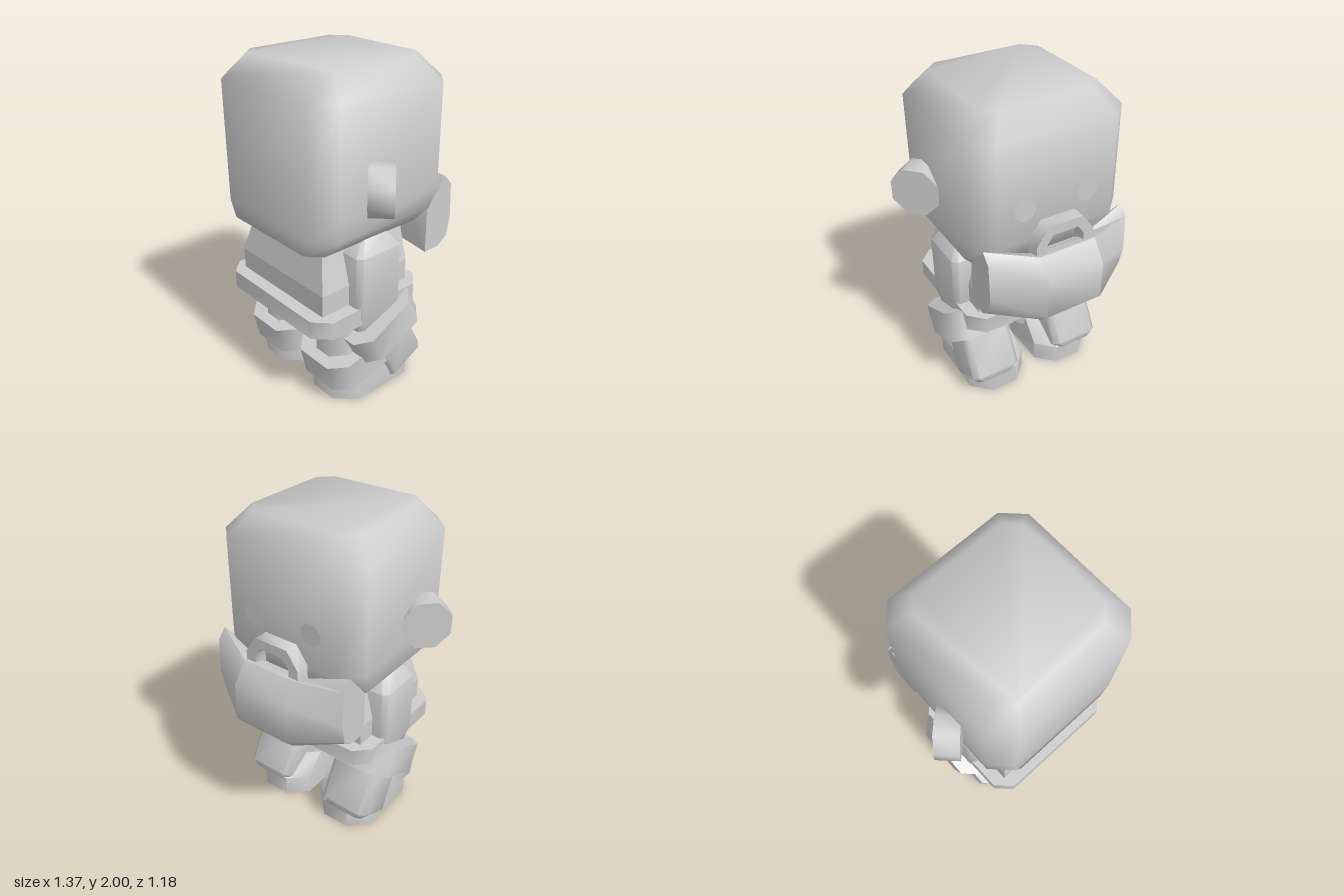
import * as THREE from 'three';
import { toCreasedNormals } from 'three/addons/utils/BufferGeometryUtils.js';

const clay = new THREE.MeshStandardMaterial({ color: 0xcccccc });
clay.name = 'light grey';

// Skins a stack of equal-length rings of [x, y, z] points and closes both ends.
function loft(rings, crease = 0.9) {
  const n = rings[0].length;
  const top = (rings.length - 1) * n;
  const index = [];
  for (let r = 0; r < top; r += n) {
    for (let i = 0; i < n; i++) {
      const a = r + i, b = r + (i + 1) % n;
      index.push(a, b, b + n, a, b + n, a + n);
    }
  }
  for (let i = 1; i < n - 1; i++) {
    index.push(0, i + 1, i, top, top + i, top + i + 1);
  }
  const g = new THREE.BufferGeometry();
  g.setAttribute('position', new THREE.Float32BufferAttribute(rings.flat(2), 3));
  g.setIndex(index);
  return toCreasedNormals(g, crease);
}

// Horizontal rectangle with cut corners: height, half width, back z, front z, cut.
const ring = (y, hx, z0, z1, c) => [
  [-hx + c, y, z1], [hx - c, y, z1], [hx, y, z1 - c], [hx, y, z0 + c],
  [hx - c, y, z0], [-hx + c, y, z0], [-hx, y, z0 + c], [-hx, y, z1 - c],
];
const block = (list, crease) => loft(list.map((a) => ring(...a)), crease);

function add(parent, name, geometry, x = 0, y = 0, z = 0) {
  const m = new THREE.Mesh(geometry, clay);
  m.name = name;
  m.position.set(x, y, z);
  parent.add(m);
  return m;
}

export function createModel() {
  const model = new THREE.Group();
  model.name = 'figure';

  // Big softly shaded head
  add(model, 'head', block([
    [1.04, 0.4, -0.25, 0.585, 0.08],
    [1.14, 0.485, -0.32, 0.585, 0.115],
    [1.26, 0.485, -0.38, 0.585, 0.115],
    [1.86, 0.485, -0.38, 0.585, 0.115],
    [2.0, 0.36, -0.26, 0.47, 0.08],
  ], Math.PI));

  // Square-edged torso
  const slab = (y, hx, z0, z1) => [[-hx, y, z1], [hx, y, z1], [hx, y, z0], [-hx, y, z0]];
  add(model, 'torso', loft([
    slab(0.56, 0.38, -0.14, 0.51), slab(0.78, 0.38, -0.14, 0.51), slab(1.06, 0.305, -0.14, 0.445),
  ], 0.1));
  add(model, 'belt', block([
    [0.54, 0.46, -0.22, 0.59, 0.09],
    [0.65, 0.46, -0.22, 0.59, 0.09],
  ]));

  // Moustache: three straight pieces between cross-sections of [z, y]
  const tip = [[-0.34, 0.83], [-0.41, 0.88], [-0.435, 1.0], [-0.425, 1.22],
    [-0.37, 1.28], [-0.225, 1.11], [-0.225, 0.83]];
  const middle = [[-0.53, 0.8], [-0.59, 0.86], [-0.59, 1.1], [-0.5, 1.22],
    [-0.42, 1.2], [-0.3, 1.1], [-0.3, 0.8]];
  const sections = [[-0.455, tip], [-0.18, middle], [0.18, middle], [0.455, tip]]
    .map(([x, pts]) => pts.map(([z, y]) => [x, y, z]));
  ['moustacheRight', 'moustacheMiddle', 'moustacheLeft'].forEach((name, i) => {
    add(model, name, loft([sections[i], sections[i + 1]]));
  });

  // Arched nose
  const arch = new THREE.Shape([[-0.185, 1.16], [0.185, 1.16], [0.185, 1.27], [0.11, 1.375],
    [-0.11, 1.375], [-0.185, 1.27]].map((p) => new THREE.Vector2(...p)));
  arch.holes.push(new THREE.Path([[-0.12, 1.18], [-0.12, 1.26], [-0.08, 1.315],
    [0.08, 1.315], [0.12, 1.26], [0.12, 1.18]].map((p) => new THREE.Vector2(...p))));
  const nose = new THREE.ExtrudeGeometry(arch, { depth: 0.085, bevelEnabled: false });
  add(model, 'nose', toCreasedNormals(nose, 1), 0, 0, -0.475);

  for (const s of [1, -1]) {
    const side = s > 0 ? 'left' : 'right';

    // Eye plate
    const eye = new THREE.CircleGeometry(0.07, 8, Math.PI / 8).rotateY(Math.PI);
    add(model, side + 'Eye', eye, s * 0.2, 1.46, -0.382);

    // Octagonal ear turned toward the face
    const ear = new THREE.CylinderGeometry(0.1515, 0.1515, 0.14, 8);
    ear.rotateY(Math.PI / 8).rotateX(Math.PI / 2).rotateY(-s * Math.PI / 4);
    add(model, side + 'Ear', toCreasedNormals(ear, 0.9), s * 0.535, 1.395, 0.228);

    // Upper arm
    const arm = new THREE.Group();
    arm.name = side + 'Arm';
    arm.position.x = s * 0.305;
    model.add(arm);
    add(arm, 'sleeve', block([
      [0.46, 0.14, 0.02, 0.28, 0.03],
      [0.58, 0.165, -0.02, 0.315, 0.03],
      [0.97, 0.165, -0.02, 0.315, 0.03],
      [1.055, 0.1, 0.05, 0.24, 0.02],
    ]));

    // Forearm swings toward the face side
    const forearm = new THREE.Group();
    forearm.name = 'forearm';
    forearm.position.set(0, 0.453, 0.093);
    forearm.rotation.x = 0.465;
    arm.add(forearm);
    add(forearm, 'cuff', block([
      [-0.095, 0.24, -0.24, 0.24, 0.085],
      [0.095, 0.24, -0.24, 0.24, 0.085],
    ]));
    add(forearm, 'hand', block([
      [-0.435, 0.13, -0.13, 0.105, 0.03],
      [-0.395, 0.165, -0.16, 0.14, 0.035],
      [-0.09, 0.165, -0.15, 0.13, 0.035],
    ]));

    // Leg, boot and tilted boot cuff
    const leg = new THREE.Group();
    leg.name = side + 'Leg';
    leg.position.x = s * 0.25;
    model.add(leg);
    add(leg, 'trouser', block([
      [0.2, 0.15, 0.08, 0.41, 0.09],
      [0.3, 0.145, 0.09, 0.41, 0.085],
      [0.56, 0.125, 0.13, 0.41, 0.075],
    ]));
    add(leg, 'boot', block([
      [0, 0.2, -0.21, 0.41, 0.11],
      [0.13, 0.2, -0.21, 0.41, 0.11],
      [0.24, 0.18, -0.05, 0.39, 0.1],
    ]));
    add(leg, 'bootCuff', block([
      [-0.09, 0.215, -0.23, 0.23, 0.09],
      [0.09, 0.215, -0.23, 0.23, 0.09],
    ]), 0, 0.24, 0.235).rotation.x = 0.22;
  }
  return model;
}
